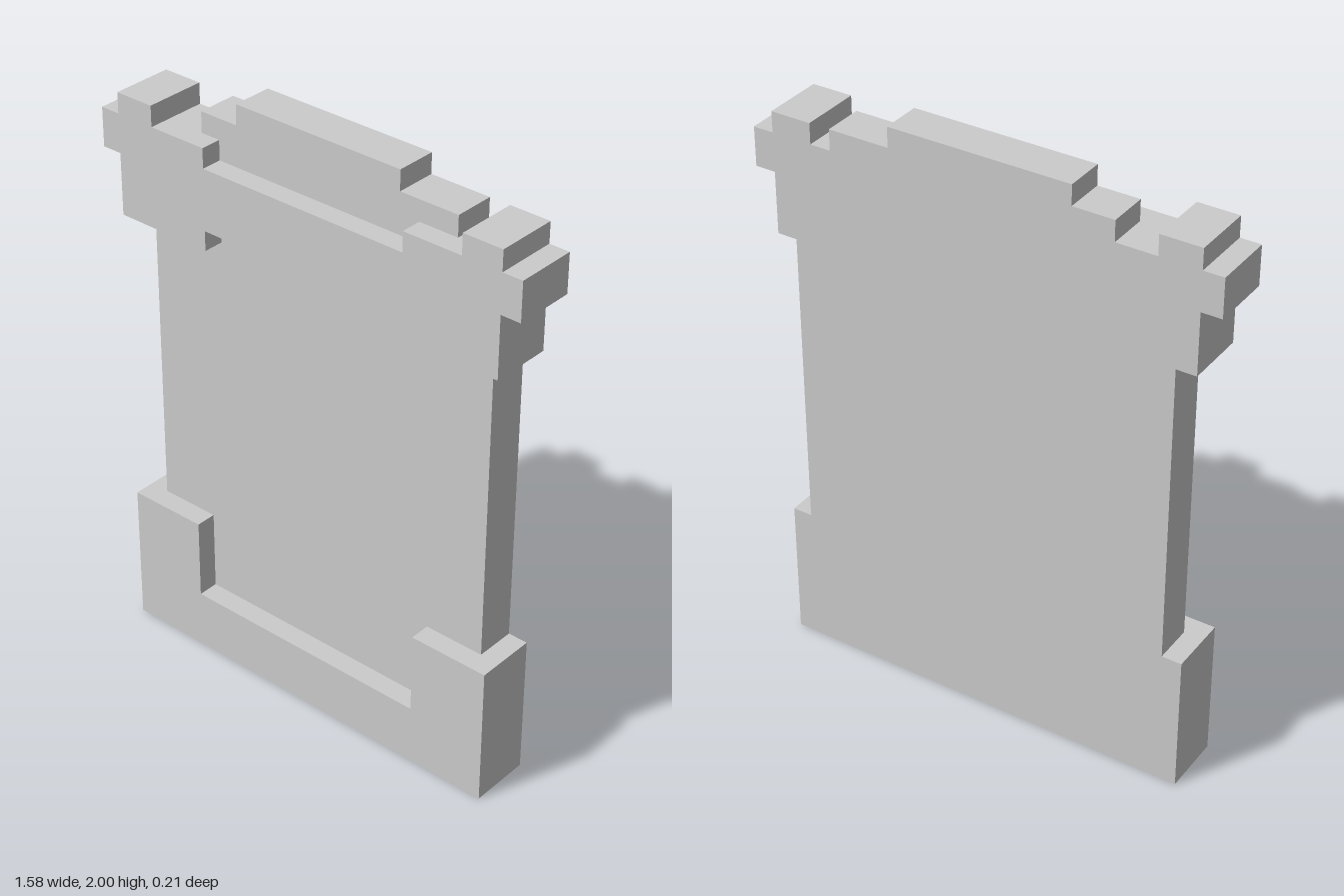
import * as THREE from 'three';

const BACK = -0.104, MID = 0.033, FRONT = 0.104;

// Flat-sided slab: an outline in x,y pushed from the back plane to the given front plane
function slab(name, points, front, material) {
  const shape = new THREE.Shape(points.map(([x, y]) => new THREE.Vector2(x, y)));
  const geometry = new THREE.ExtrudeGeometry(shape, { depth: front - BACK, bevelEnabled: false });
  geometry.translate(0, 0, BACK);
  const mesh = new THREE.Mesh(geometry, material);
  mesh.name = name;
  return mesh;
}

// Closes a symmetric outline from its right half, listed bottom to top
const mirrored = (half) => [...half, ...half.map(([x, y]) => [-x, y]).reverse()];

export function createModel() {
  const group = new THREE.Group();
  group.name = 'steppedTablet';
  const material = new THREE.MeshStandardMaterial({ color: 0xcccccc, flatShading: true });

  // Thick U-shaped foot
  group.add(slab('base', mirrored([
    [0.723, 0], [0.723, 0.485], [0.446, 0.485], [0.446, 0.205],
  ]), FRONT, material));

  // Thin panel, seated in the notches of the base and the top bar
  group.add(slab('panel', mirrored([
    [0.446, 0.205], [0.446, 0.485], [0.655, 0.485], [0.655, 1.52], [0.378, 1.52], [0.378, 1.587],
  ]), MID, material));

  // Thick top bar with side lugs, raised end blocks and notches above and below
  group.add(slab('topBar', mirrored([
    [0.378, 1.587], [0.378, 1.52], [0.723, 1.52], [0.723, 1.73], [0.792, 1.73], [0.792, 1.862],
    [0.723, 1.862], [0.723, 1.932], [0.585, 1.932], [0.585, 1.862], [0.378, 1.862], [0.378, 1.795],
  ]), FRONT, material));

  // Thin stepped crest behind the upper notch, slightly longer on the left
  group.add(slab('crest', [
    [-0.378, 1.795], [0.378, 1.795], [0.378, 1.862], [0.515, 1.862], [0.515, 1.932], [0.308, 1.932],
    [0.308, 2], [-0.308, 2], [-0.308, 1.932], [-0.448, 1.932], [-0.448, 1.862], [-0.378, 1.862],
  ], MID, material));

  return group;
}
